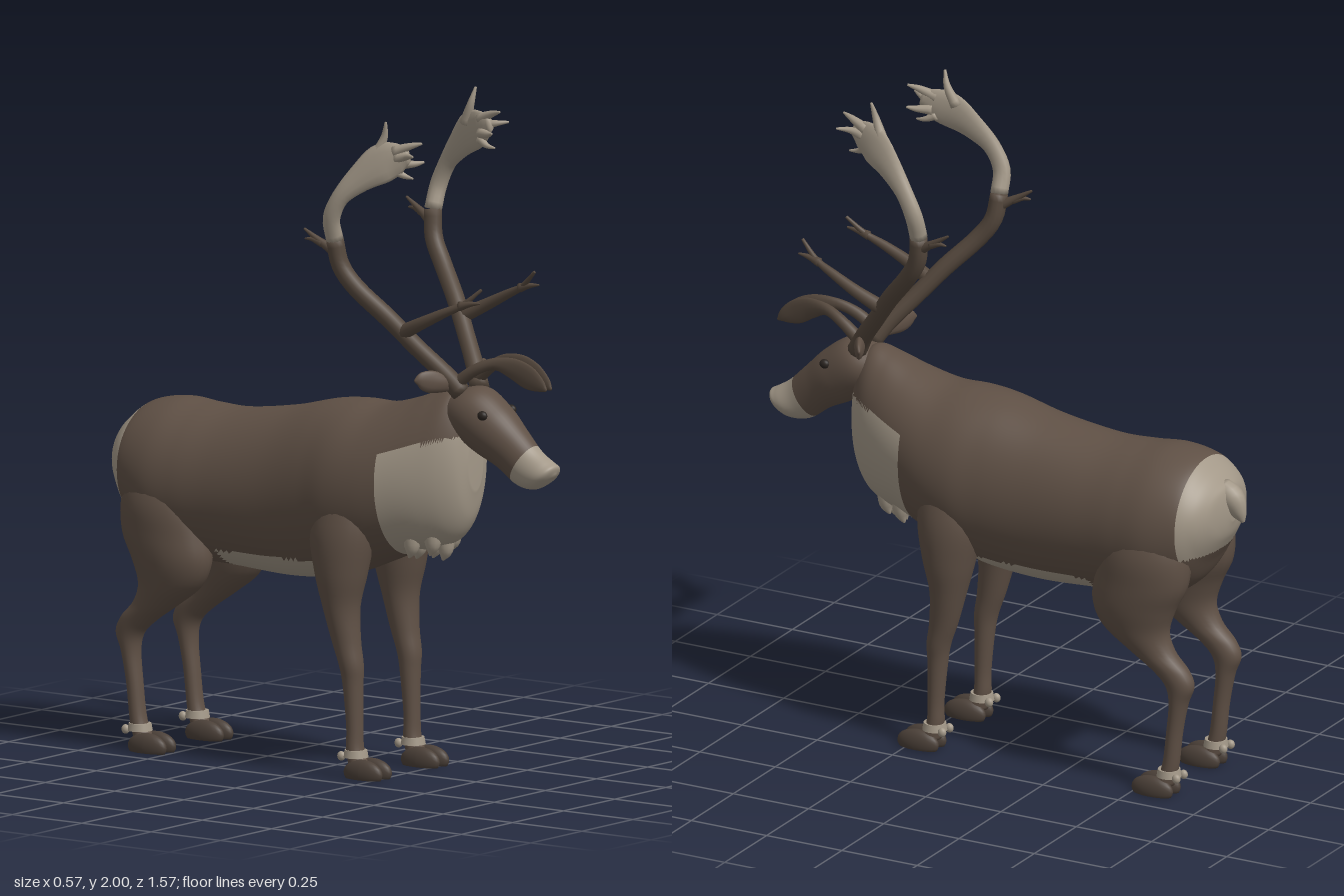
import * as THREE from 'three';

const flat = (name, color) => Object.assign(new THREE.MeshStandardMaterial({ color }), { name });
const coat = flat('brown coat', 0x5f5045);
const pale = flat('pale fur', 0xa39888);
const horn = flat('dark antler', 0x55483d);
const hoofMat = flat('hoof', 0x4b4038);
const noseMat = flat('nose', 0x5f554c);
const eyeMat = flat('eye', 0x2a2420);

const vec = (x, y, z) => new THREE.Vector3(x, y, z);
const X = vec(1, 0, 0), Y = vec(0, 1, 0), Z = vec(0, 0, 1);

// Smooth loft through sections [x, y, z, a, b]; a fixed axis keeps all rings parallel
function loft(sections, { axis = null, ref = X, sides = 12, steps = 4 } = {}) {
  const spine = new THREE.CatmullRomCurve3(sections.map(s => vec(s[0], s[1], s[2])), false, 'catmullrom', 0.5);
  const sizes = new THREE.CatmullRomCurve3(sections.map(s => vec(s[3], s[4], 0)), false, 'catmullrom', 0.5);
  const rows = (sections.length - 1) * steps;
  const pos = [], index = [];
  for (let i = 0; i <= rows; i++) {
    const c = spine.getPoint(i / rows), r = sizes.getPoint(i / rows);
    const t = axis ?? spine.getTangent(i / rows);
    const u = ref.clone().cross(t).normalize(), v = t.clone().cross(u).normalize();
    for (let j = 0; j < sides; j++) {
      const k = j / sides * Math.PI * 2;
      const p = c.clone().addScaledVector(u, Math.cos(k) * Math.max(r.x, 0.002))
        .addScaledVector(v, Math.sin(k) * Math.max(r.y, 0.002));
      pos.push(p.x, p.y, p.z);
      if (i < rows) {
        const a = i * sides + j, b = i * sides + (j + 1) % sides;
        index.push(a, b, a + sides, b, b + sides, a + sides);
      }
    }
  }
  // End caps
  const first = sections[0], last = sections[sections.length - 1];
  const n = pos.length / 3, end = rows * sides;
  pos.push(...first.slice(0, 3), ...last.slice(0, 3));
  for (let j = 0; j < sides; j++) {
    const k = (j + 1) % sides;
    index.push(n, k, j, n + 1, end + j, end + k);
  }
  const g = new THREE.BufferGeometry();
  g.setAttribute('position', new THREE.Float32BufferAttribute(pos, 3));
  g.setIndex(index);
  g.computeVertexNormals();
  return g;
}

// Sort triangles into two material groups by their centre
function split(g, isSecond) {
  const p = g.attributes.position, src = g.index.array, parts = [[], []];
  for (let i = 0; i < src.length; i += 3) {
    const c = vec(0, 0, 0);
    for (let k = 0; k < 3; k++) c.add(vec(0, 0, 0).fromBufferAttribute(p, src[i + k]));
    c.divideScalar(3);
    parts[isSecond(c) ? 1 : 0].push(src[i], src[i + 1], src[i + 2]);
  }
  g.setIndex([...parts[0], ...parts[1]]);
  g.addGroup(0, parts[0].length, 0);
  g.addGroup(parts[0].length, parts[1].length, 1);
  return g;
}

export function createModel() {
  const model = new THREE.Group();
  model.name = 'reindeer';
  const add = (name, geo, mat, parent = model) => {
    const m = new THREE.Mesh(geo, mat);
    m.name = name;
    parent.add(m);
    return m;
  };
  const ball = (name, mat, at, size, parent) => {
    const m = add(name, new THREE.SphereGeometry(1, 16, 12), mat, parent);
    m.position.set(...at);
    m.scale.set(...size);
    return m;
  };

  // Body and neck: z, top, bottom, half width
  const bodyRings = [
    [-0.745, 0.89, 0.83, 0.02], [-0.735, 0.93, 0.79, 0.07], [-0.72, 0.95, 0.76, 0.12], [-0.69, 0.98, 0.71, 0.165],
    [-0.64, 1.015, 0.63, 0.198], [-0.55, 1.03, 0.57, 0.22], [-0.45, 1.022, 0.56, 0.216], [-0.33, 1.02, 0.555, 0.205],
    [-0.15, 1.045, 0.545, 0.2], [0, 1.08, 0.555, 0.208], [0.1, 1.09, 0.58, 0.217], [0.2, 1.09, 0.62, 0.205],
    [0.3, 1.115, 0.66, 0.175], [0.38, 1.145, 0.68, 0.145], [0.44, 1.16, 0.71, 0.115], [0.48, 1.12, 0.77, 0.08],
    [0.5, 1.02, 0.86, 0.035],
  ].map(([z, t, b, w]) => [0, (t + b) / 2, z, w, (t - b) / 2]);
  const body = loft(bodyRings, { axis: Z, ref: Y, sides: 80, steps: 9 });
  add('body', split(body, c =>
    (c.z < -0.655 && c.y > 0.74) ||
    (c.z > 0.27 && c.y < 0.97 + (c.z - 0.27) * 0.25) ||
    (c.z > -0.34 && c.z < 0.05 && c.y < 0.617)), [coat, pale]);

  // Tail
  add('tail', loft([[0, 0.93, -0.7, 0.03, 0.03], [0, 0.9, -0.738, 0.038, 0.035], [0, 0.86, -0.762, 0.026, 0.022],
    [0, 0.83, -0.777, 0.005, 0.005]]), pale);

  // Shaggy tufts under the chest
  for (const [x, y, z] of [[0, 0.67, 0.39], [0.05, 0.69, 0.38], [-0.05, 0.69, 0.38], [0.07, 0.68, 0.32],
    [-0.07, 0.68, 0.32], [0.02, 0.67, 0.34], [-0.02, 0.67, 0.31]]) {
    add('chestTuft', loft([[x, y + 0.05, z, 0.03, 0.03], [x, y, z, 0.022, 0.022], [x, y - 0.03, z - 0.01, 0.003, 0.003]]), pale);
  }

  // Head with pale muzzle
  const head = loft([
    [0, 1.11, 0.41, 0.05, 0.05], [0, 1.095, 0.48, 0.083, 0.085], [0, 1.045, 0.56, 0.08, 0.085],
    [0, 0.995, 0.63, 0.063, 0.071], [0, 0.945, 0.69, 0.052, 0.064], [0, 0.926, 0.74, 0.05, 0.052],
    [0, 0.928, 0.77, 0.038, 0.034], [0, 0.928, 0.782, 0.006, 0.006],
  ], { axis: vec(0, -0.55, 0.835), ref: Y, sides: 40, steps: 8 });
  add('head', split(head, c => 0.835 * c.z - 0.55 * c.y > 0.04), [coat, pale]);
  ball('nose', noseMat, [0, 0.942, 0.765], [0.03, 0.024, 0.02]);

  for (const s of [1, -1]) {
    const side = s > 0 ? 'left' : 'right';

    // Eye and ear
    ball(side + 'Eye', eyeMat, [s * 0.071, 1.095, 0.575], [0.012, 0.014, 0.016]);
    add(side + 'Ear', loft([[s * 0.05, 1.17, 0.46, 0.012, 0.015], [s * 0.085, 1.18, 0.45, 0.016, 0.026],
      [s * 0.125, 1.188, 0.43, 0.014, 0.033], [s * 0.155, 1.195, 0.415, 0.01, 0.024],
      [s * 0.172, 1.195, 0.405, 0.003, 0.004]], { ref: Y }), coat);

    // Antler: the right one is slightly shorter
    const antler = new THREE.Group();
    antler.name = side + 'Antler';
    model.add(antler);
    const k = s > 0 ? 1 : 0.947;
    const branch = (name, mat, pts) =>
      add(name, loft(pts.map(([x, y, z, a, b = a]) => [s * x, 1.17 + (y - 1.17) * k, z, a, b])), mat, antler);
    const tine = (mat, r, ...pts) =>
      branch('tine', mat, pts.map((p, i) => [...p, r * (1 - 0.8 * i / (pts.length - 1))]));

    branch('beam', horn, [[0.045, 1.15, 0.48, 0.03], [0.075, 1.21, 0.44, 0.027], [0.12, 1.29, 0.375, 0.026],
      [0.165, 1.38, 0.305, 0.027], [0.21, 1.47, 0.225, 0.027], [0.228, 1.54, 0.18, 0.027], [0.24, 1.62, 0.168, 0.026]]);
    branch('palm', pale, [[0.24, 1.62, 0.168, 0.026], [0.262, 1.69, 0.172, 0.027, 0.022], [0.262, 1.76, 0.205, 0.028, 0.019],
      [0.245, 1.82, 0.26, 0.042, 0.017], [0.225, 1.868, 0.32, 0.058, 0.016], [0.208, 1.89, 0.37, 0.047, 0.014],
      [0.2, 1.9, 0.405, 0.02, 0.01]]);
    // Palm points
    tine(pale, 0.018, [0.22, 1.89, 0.3], [0.212, 1.95, 0.325], [0.22, 2.0, 0.337]);
    tine(pale, 0.017, [0.21, 1.91, 0.36], [0.2, 1.93, 0.41], [0.19, 1.94, 0.445]);
    tine(pale, 0.016, [0.21, 1.89, 0.37], [0.215, 1.9, 0.41], [0.235, 1.905, 0.445]);
    tine(pale, 0.016, [0.2, 1.87, 0.37], [0.18, 1.872, 0.41], [0.165, 1.878, 0.435]);
    tine(pale, 0.014, [0.21, 1.85, 0.36], [0.2, 1.835, 0.39], [0.2, 1.83, 0.42]);
    // Rear fork
    tine(horn, 0.018, [0.235, 1.58, 0.17], [0.245, 1.61, 0.12], [0.25, 1.645, 0.065]);
    tine(horn, 0.012, [0.245, 1.605, 0.125], [0.25, 1.615, 0.095], [0.253, 1.615, 0.07]);
    // Forward tine with forked tip
    tine(horn, 0.023, [0.145, 1.335, 0.34], [0.155, 1.375, 0.42], [0.153, 1.415, 0.5], [0.145, 1.445, 0.56], [0.13, 1.495, 0.615]);
    tine(horn, 0.014, [0.147, 1.44, 0.55], [0.145, 1.45, 0.585], [0.145, 1.455, 0.62]);
    // Brow paddle reaching over the face
    branch('browPaddle', horn, [[0.05, 1.18, 0.47, 0.02], [0.045, 1.225, 0.53, 0.017], [0.032, 1.248, 0.59, 0.018, 0.013],
      [0.022, 1.238, 0.65, 0.032, 0.01], [0.016, 1.215, 0.7, 0.036, 0.009], [0.014, 1.195, 0.74, 0.022, 0.007],
      [0.012, 1.18, 0.762, 0.004, 0.004]]);

    // Legs: x, y, z, half width, half depth
    const legs = {
      FrontLeg: [[0.13, 0.85, 0.13, 0.06, 0.08], [0.138, 0.72, 0.12, 0.084, 0.1], [0.144, 0.6, 0.12, 0.076, 0.08],
        [0.145, 0.5, 0.122, 0.058, 0.055], [0.143, 0.4, 0.138, 0.044, 0.043], [0.142, 0.33, 0.155, 0.038, 0.036],
        [0.14, 0.27, 0.16, 0.032, 0.03], [0.14, 0.15, 0.166, 0.027, 0.024], [0.14, 0.08, 0.168, 0.029, 0.026],
        [0.14, 0.03, 0.185, 0.032, 0.032]],
      HindLeg: [[0.12, 0.87, -0.54, 0.06, 0.09], [0.13, 0.75, -0.53, 0.096, 0.135], [0.135, 0.65, -0.515, 0.094, 0.147],
        [0.14, 0.57, -0.493, 0.083, 0.132], [0.14, 0.5, -0.5, 0.067, 0.105], [0.14, 0.44, -0.55, 0.05, 0.076],
        [0.14, 0.39, -0.61, 0.041, 0.062], [0.14, 0.345, -0.643, 0.036, 0.046], [0.14, 0.29, -0.64, 0.032, 0.029],
        [0.14, 0.2, -0.627, 0.028, 0.024], [0.14, 0.09, -0.613, 0.028, 0.025], [0.14, 0.03, -0.59, 0.032, 0.032]],
    };
    for (const [name, rings] of Object.entries(legs)) {
      const leg = new THREE.Group();
      leg.name = side + name;
      model.add(leg);
      add('limb', loft(rings.map(([x, ...r]) => [s * x, ...r]), { axis: vec(0, -1, 0), ref: Z, sides: 24, steps: 5 }), coat, leg);
      const z = name === 'FrontLeg' ? 0.168 : -0.61;
      // Pale fetlock band, dewclaws and a two-toed hoof
      const band = add('fetlockBand', new THREE.CylinderGeometry(0.033, 0.037, 0.022, 20), pale, leg);
      band.position.set(s * 0.14, 0.07, z + 0.002);
      for (const d of [-1, 1]) {
        ball('dewclaw', pale, [s * 0.14 + d * 0.022, 0.062, z - 0.034], [0.011, 0.014, 0.013], leg);
        const toe = new THREE.SphereGeometry(1, 20, 14).scale(0.025, 0.04, 0.068);
        const p = toe.attributes.position;
        for (let i = 0; i < p.count; i++) p.setY(i, Math.max(p.getY(i), -0.018));
        toe.computeVertexNormals();
        add('hoofToe', toe, hoofMat, leg).position.set(s * 0.14 + d * 0.023, 0.018, z + 0.045);
      }
    }
  }
  return model;
}
